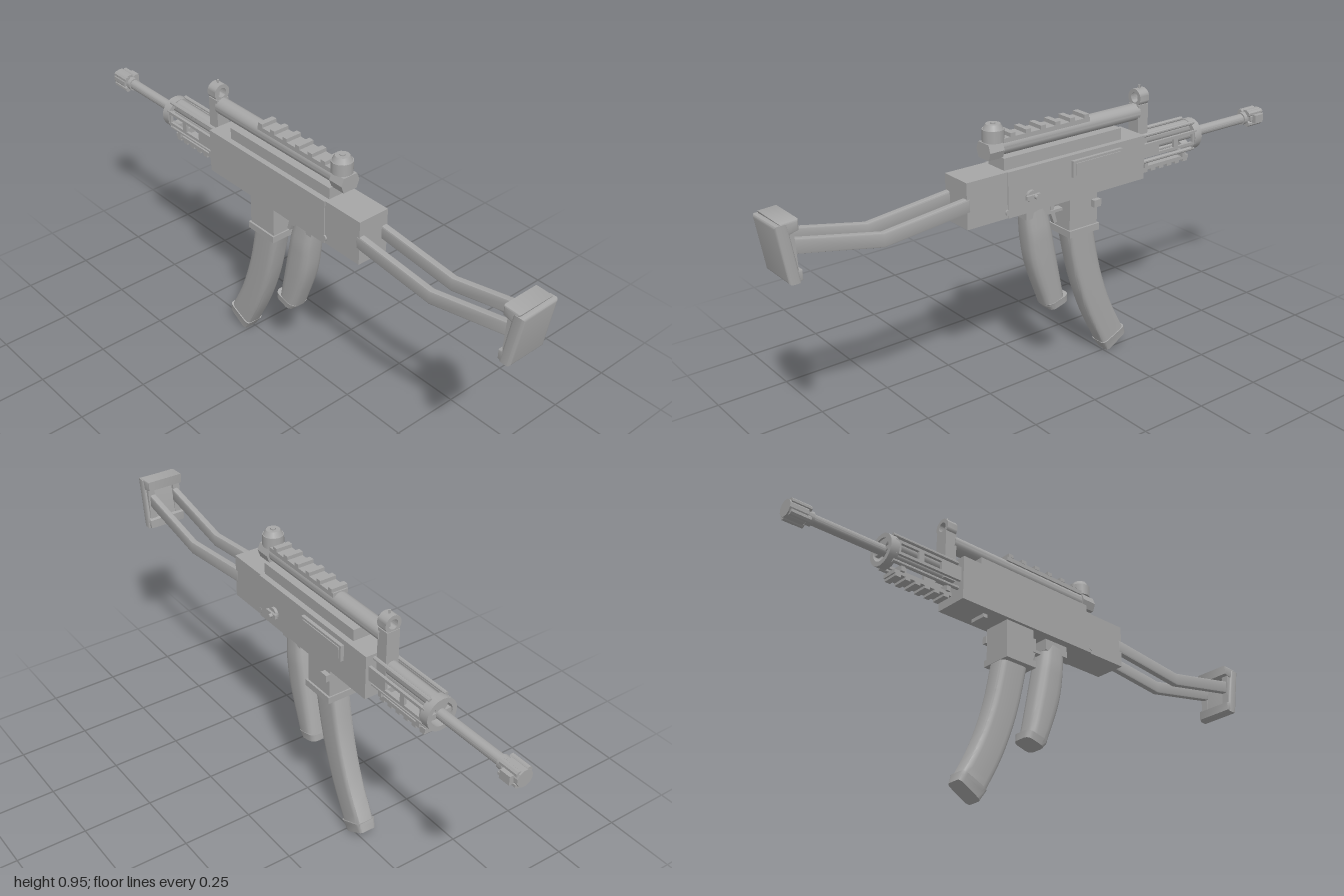
import * as THREE from 'three';
import { toCreasedNormals } from 'three/addons/utils/BufferGeometryUtils.js';

const grey = new THREE.MeshStandardMaterial({ color: 0xa6a6a6 });
grey.name = 'plain grey';

export function createModel() {
  const root = new THREE.Group();
  root.name = 'model';
  const g = new THREE.Group();
  g.name = 'rifle';
  g.position.x = -0.011;
  root.add(g);

  const add = (name, geo, x = 0, y = 0, z = 0) => {
    const m = new THREE.Mesh(geo, grey);
    m.name = name;
    m.position.set(x, y, z);
    g.add(m);
    return m;
  };
  // box given by its x, y and z ranges
  const box = (name, [x0, x1], [y0, y1], [z0, z1]) =>
    add(name, new THREE.BoxGeometry(x1 - x0, y1 - y0, Math.abs(z1 - z0)), (x0 + x1) / 2, (y0 + y1) / 2, (z0 + z1) / 2);
  // cylinder along z
  const rod = (name, r, x, y, z0, z1, sides = 20) => {
    const geo = new THREE.CylinderGeometry(r, r, Math.abs(z1 - z0), sides);
    geo.rotateY(Math.PI / sides).rotateX(Math.PI / 2);
    return add(name, toCreasedNormals(geo, 0.5), x, y, (z0 + z1) / 2);
  };
  // cylinder along x
  const pin = (name, r, x0, x1, y, z, sides = 16) =>
    add(name, toCreasedNormals(new THREE.CylinderGeometry(r, r, x1 - x0, sides).rotateZ(Math.PI / 2), 0.5), (x0 + x1) / 2, y, z);
  const poly = (pts) => new THREE.Shape(pts.map(([a, b]) => new THREE.Vector2(a, b)));
  const hole = (a0, b0, a1, b1) => new THREE.Path([[a0, b0], [a0, b1], [a1, b1], [a1, b0]].map(([a, b]) => new THREE.Vector2(a, b)));
  // side profile in (z, y), extruded across x
  const side = (name, shape, width, x = 0, bevel = 0) => {
    const geo = new THREE.ExtrudeGeometry(shape, {
      depth: width - 2 * bevel, bevelEnabled: bevel > 0, bevelSize: bevel, bevelThickness: bevel,
      bevelOffset: -bevel, bevelSegments: 2, curveSegments: 16,
    });
    geo.translate(0, 0, -(width / 2 - bevel)).rotateY(-Math.PI / 2);
    return add(name, toCreasedNormals(geo, 0.5), x);
  };
  // downward loft of rounded rectangles between a back and a front edge line, both (z, y)
  const loft = (name, back, front, widths, corner, steps = 12) => {
    const curve = (pts) => new THREE.CatmullRomCurve3(pts.map(([z, y]) => new THREE.Vector3(0, y, z)));
    const cb = curve(back), cf = curve(front), pos = [], idx = [];
    const ring = [];
    for (let q = 0; q < 4; q++) for (let k = 0; k <= 3; k++) {
      const a = (q + k / 3) * Math.PI / 2;
      const sx = q === 0 || q === 3 ? 1 : -1, sv = q < 2 ? 1 : -1;
      ring.push([sx * (1 - corner) + corner * Math.cos(a), sv * (1 - corner) + corner * Math.sin(a)]);
    }
    const n = ring.length;
    for (let i = 0; i <= steps; i++) {
      const t = i / steps, b = cb.getPoint(t), f = cf.getPoint(t);
      const s = t * (widths.length - 1), s0 = Math.min(Math.floor(s), widths.length - 2);
      const w = THREE.MathUtils.lerp(widths[s0], widths[s0 + 1], s - s0) / 2;
      for (const [u, v] of ring) {
        const p = b.clone().lerp(f, (v + 1) / 2);
        pos.push(u * w, p.y, p.z);
      }
    }
    for (let i = 0; i < steps; i++) for (let j = 0; j < n; j++) {
      const a = i * n + j, b = i * n + (j + 1) % n;
      idx.push(a, a + n, b, b, a + n, b + n);
    }
    for (let j = 1; j < n - 1; j++) {
      const e = steps * n;
      idx.push(0, j, j + 1, e, e + j + 1, e + j);
    }
    const geo = new THREE.BufferGeometry();
    geo.setAttribute('position', new THREE.Float32BufferAttribute(pos, 3));
    geo.setIndex(idx);
    return add(name, toCreasedNormals(geo, 0.6), 0);
  };

  // receiver
  box('receiver', [-0.062, 0.062], [0.645, 0.8], [-0.375, 0.2]);
  box('receiverRear', [-0.058, 0.058], [0.645, 0.8], [0.2, 0.355]);
  box('topCover', [-0.042, 0.042], [0.8, 0.84], [-0.285, 0.2]);
  box('ejectionCover', [0.062, 0.074], [0.725, 0.782], [-0.265, -0.055]);
  box('ejectionCoverInset', [0.074, 0.077], [0.733, 0.774], [-0.255, -0.065]);
  pin('selectorHub', 0.02, 0.062, 0.072, 0.702, 0.112);
  pin('selectorPin', 0.007, 0.07, 0.092, 0.702, 0.105);
  box('selectorLever', [0.07, 0.08], [0.695, 0.709], [0.085, 0.138]);
  pin('rearPin', 0.01, -0.063, 0.063, 0.665, 0.2);
  box('underLug', [-0.03, 0.03], [0.632, 0.645], [-0.262, -0.245]);

  // upper tube with sight rail
  rod('upperTube', 0.029, 0, 0.868, -0.385, 0.24);
  box('railBase', [-0.029, 0.029], [0.885, 0.9], [-0.16, 0.19]);
  for (let i = 0; i < 6; i++) {
    const z = 0.165 - i * 0.06;
    box('railTooth', [-0.03, 0.03], [0.9, 0.913], [z - 0.02, z]);
  }

  // rear sight
  const block = poly([[-0.027, 0.838], [0.027, 0.838], [0.037, 0.865], [0.027, 0.89], [-0.027, 0.89], [-0.037, 0.865]]);
  add('rearSightBlock', new THREE.ExtrudeGeometry(block, { depth: 0.055, bevelEnabled: false }), 0, 0, 0.193);
  add('rearSightDrum', new THREE.CylinderGeometry(0.036, 0.036, 0.04, 12).toNonIndexed(), 0, 0.91, 0.21);
  add('rearSightCap', new THREE.CylinderGeometry(0.024, 0.034, 0.018, 12), 0, 0.938, 0.21);
  add('rearSightScrew', new THREE.CylinderGeometry(0.009, 0.009, 0.006, 12), 0, 0.948, 0.21);

  // front sight
  box('frontSightPost', [-0.024, 0.024], [0.72, 0.895], [-0.422, -0.378]);
  const ring = new THREE.Shape().absarc(0, 0, 0.03, 0, Math.PI * 2);
  ring.holes.push(new THREE.Path().absarc(0, 0, 0.017, 0, Math.PI * 2, true));
  add('frontSightRing', toCreasedNormals(new THREE.ExtrudeGeometry(ring, { depth: 0.04, bevelEnabled: false, curveSegments: 10 }), 0.7), 0, 0.917, -0.42);
  add('frontSightBlade', new THREE.CylinderGeometry(0.004, 0.004, 0.07, 8), 0, 0.923, -0.4);

  // barrel and muzzle
  rod('barrel', 0.018, 0, 0.735, -0.98, -0.37);
  rod('barrelCollar', 0.023, 0, 0.735, -0.93, -0.91);
  rod('muzzle', 0.029, 0, 0.735, -1, -0.935, 12);
  for (let i = 0; i < 4; i++) {
    const a = Math.PI / 4 + i * Math.PI / 2;
    rod('muzzleLug', 0.011, 0.026 * Math.cos(a), 0.735 + 0.026 * Math.sin(a), -0.995, -0.925, 8);
  }
  box('muzzleTab', [0.02, 0.043], [0.72, 0.75], [-0.985, -0.945]);

  // handguard: gas tube, slotted side plates, rods, end ring and lower rail
  rod('gasTube', 0.024, 0, 0.765, -0.65, -0.41);
  for (const s of [-1, 1]) {
    const plate = poly([[-0.635, 0.712], [-0.375, 0.712], [-0.375, 0.762], [-0.635, 0.762]]);
    for (const z of [-0.525, -0.615]) plate.holes.push(hole(z, 0.722, z + 0.07, 0.752));
    side('handguardPlate', plate, 0.01, s * 0.046);
    rod('handguardUpperRod', 0.007, s * 0.03, 0.785, -0.635, -0.375, 8);
    rod('handguardLowerRod', 0.007, s * 0.034, 0.692, -0.635, -0.375, 8);
  }
  const cap = new THREE.Shape().absarc(0, 0, 0.056, 0, Math.PI * 2);
  cap.holes.push(new THREE.Path().absarc(0, 0, 0.04, 0, Math.PI * 2, true));
  add('handguardRing', toCreasedNormals(new THREE.ExtrudeGeometry(cap, { depth: 0.032, bevelEnabled: false, curveSegments: 10 }), 0.7), 0, 0.735, -0.656);
  box('ringBridge', [-0.045, 0.045], [0.728, 0.742], [-0.65, -0.635]);
  box('lowerRail', [-0.028, 0.028], [0.657, 0.67], [-0.62, -0.395]);
  for (let i = 0; i < 6; i++) {
    const z = -0.615 + i * 0.038;
    box('lowerRailTooth', [-0.028, 0.028], [0.648, 0.657], [z, z + 0.02]);
  }
  for (const z of [-0.6, -0.42]) box('lowerRailMount', [-0.036, 0.036], [0.668, 0.69], [z, z + 0.015]);

  // magazine well and curved magazine
  box('magazineWell', [-0.05, 0.05], [0.51, 0.645], [-0.178, -0.06]);
  box('magazineWellLip', [-0.057, 0.057], [0.506, 0.53], [-0.183, -0.055]);
  box('magazineCatch', [0.05, 0.067], [0.595, 0.62], [-0.182, -0.152]);
  loft('magazine', [[-0.066, 0.53], [-0.112, 0.33], [-0.17, 0.17], [-0.238, 0.035]],
    [[-0.177, 0.53], [-0.215, 0.352], [-0.268, 0.2], [-0.329, 0.08]], [0.074, 0.07, 0.066], 0.4);
  loft('magazineFloor', [[-0.234, 0.04], [-0.258, 0.003]], [[-0.332, 0.084], [-0.343, 0.052]], [0.074, 0.062], 0.35, 2);

  // pistol grip
  loft('grip', [[0.104, 0.63], [0.096, 0.54], [0.078, 0.43], [0.018, 0.262]],
    [[0.02, 0.65], [0.0, 0.56], [-0.022, 0.45], [-0.056, 0.285]], [0.066, 0.083, 0.082, 0.076], 0.6);
  loft('gripCap', [[0.02, 0.27], [0.002, 0.246]], [[-0.07, 0.292], [-0.072, 0.266]], [0.08, 0.074], 0.5, 2);
  box('gripMount', [-0.034, 0.034], [0.605, 0.65], [0.01, 0.108]);

  // trigger and guard bar
  side('trigger', poly([[-0.01, 0.65], [-0.03, 0.65], [-0.027, 0.6], [-0.04, 0.555], [-0.028, 0.552], [-0.012, 0.595]]), 0.016);
  box('triggerGuard', [-0.012, 0.012], [0.592, 0.602], [-0.065, 0.02]);

  // folding stock struts
  const strut = [[0.34, 0.748], [0.34, 0.7], [0.65, 0.667], [0.945, 0.728], [0.945, 0.776], [0.65, 0.715]];
  for (const s of [-1, 1]) side('stockStrut', poly(strut), 0.024, s * 0.047, 0.006);

  // butt plate: slanted pad with a forward frame
  const pad = new THREE.ExtrudeGeometry(
    poly([[-0.061, 0.655], [0.063, 0.655], [0.061, 0.818], [-0.06, 0.814]]),
    { depth: 0.022, bevelSize: 0.011, bevelThickness: 0.009, bevelSegments: 3 });
  const p = pad.attributes.position;
  for (let i = 0; i < p.count; i++) p.setZ(i, p.getZ(i) + 0.16 * (p.getY(i) - 0.82));
  add('buttPad', toCreasedNormals(pad, 0.6), 0, 0, 0.969);
  side('buttTopFlange', poly([[0.926, 0.835], [0.926, 0.8], [0.972, 0.79], [0.985, 0.832]]), 0.138, 0, 0.006);
  side('buttBottomFlange', poly([[0.926, 0.648], [0.955, 0.642], [0.96, 0.69], [0.926, 0.68]]), 0.142, 0, 0.006);
  for (const s of [-1, 1]) side('buttSideWall', poly([[0.936, 0.67], [0.96, 0.67], [0.975, 0.81], [0.942, 0.81]]), 0.026, s * 0.052);

  return root;
}
